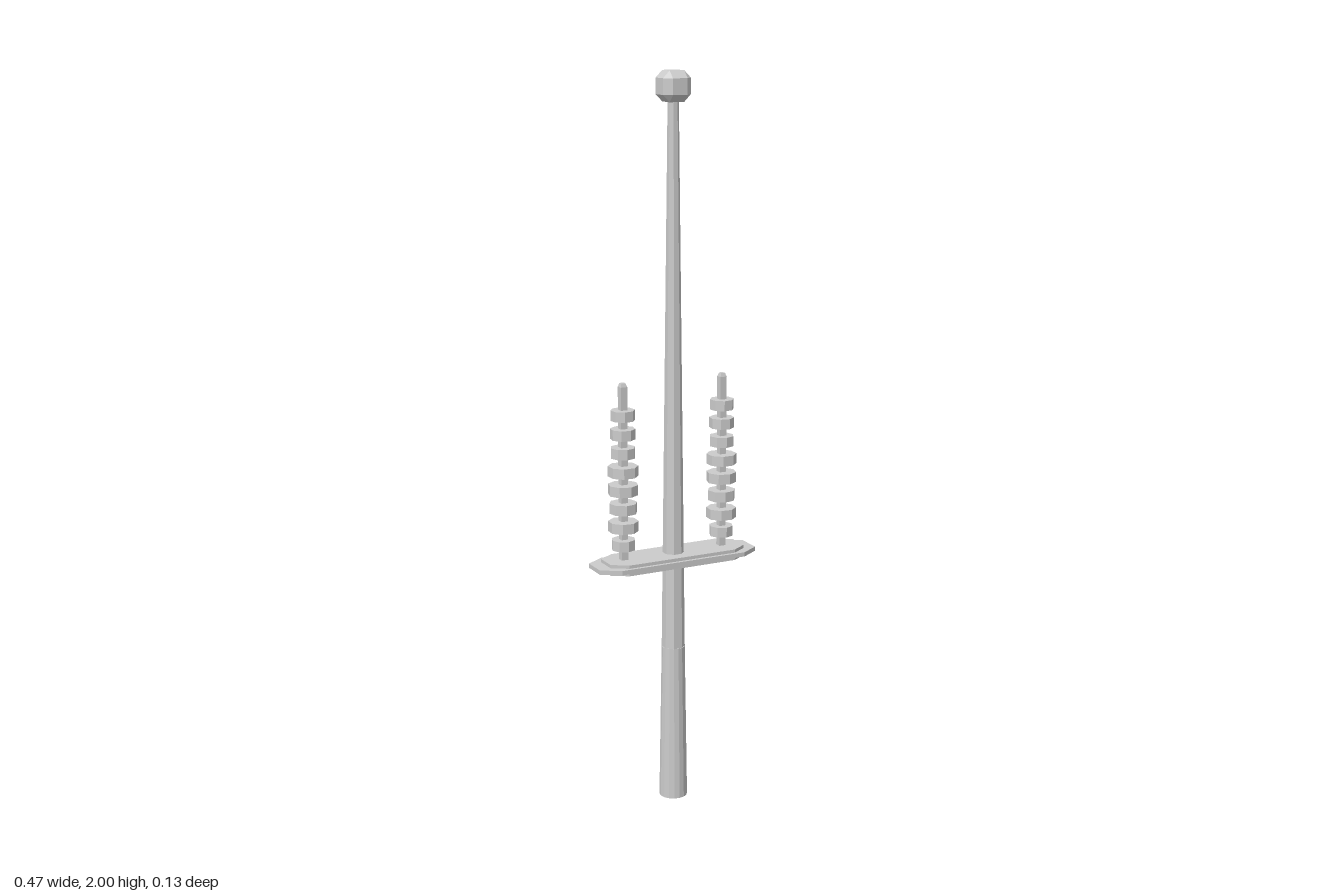
import * as THREE from 'three';
import { ConvexGeometry } from 'three/addons/geometries/ConvexGeometry.js';

export function createModel() {
  const model = new THREE.Group();
  model.name = 'insulatorPole';
  const material = new THREE.MeshStandardMaterial({ color: 0xcccccc, flatShading: true });

  function add(parent, name, geometry, x = 0, y = 0, z = 0) {
    const mesh = new THREE.Mesh(geometry, material);
    mesh.name = name;
    mesh.position.set(x, y, z);
    parent.add(mesh);
    return mesh;
  }

  // Tapered pole: rounder foot, octagonal shaft with flats facing front and sides
  const turn = Math.PI / 8;
  add(model, 'poleFoot', new THREE.CylinderGeometry(0.032, 0.039, 0.44, 16).rotateY(turn), 0, 0.22);
  add(model, 'poleShaft', new THREE.CylinderGeometry(0.0145, 0.032, 1.5, 8).rotateY(turn), 0, 1.19);

  // Faceted finial: every arrangement of one long and two short coordinates
  const corners = [];
  for (const sx of [-1, 1]) for (const sy of [-1, 1]) for (const sz of [-1, 1]) {
    for (let axis = 0; axis < 3; axis++) {
      const p = [sx * 0.021, sy * 0.021, sz * 0.021];
      p[axis] *= 0.04 / 0.021;
      corners.push(new THREE.Vector3(...p));
    }
  }
  add(model, 'finial', new ConvexGeometry(corners), 0, 1.96);

  // Crossarm plates: long rectangles with clipped ends
  function plate(name, x, xIn, z, zIn, bottom, height) {
    const shape = new THREE.Shape([
      [x, -zIn], [x, zIn], [xIn, z], [-xIn, z],
      [-x, zIn], [-x, -zIn], [-xIn, -z], [xIn, -z],
    ].map(([a, b]) => new THREE.Vector2(a, b)));
    const geometry = new THREE.ExtrudeGeometry(shape, { depth: height, bevelEnabled: false });
    add(model, name, geometry.rotateX(-Math.PI / 2), 0, bottom);
  }
  plate('crossarmRim', 0.237, 0.186, 0.067, 0.034, 0.689, 0.012);
  plate('crossarmCore', 0.203, 0.16, 0.058, 0.03, 0.68, 0.03);

  // Two insulator stacks on square rods
  const discRadii = [0.033, 0.041, 0.038, 0.041, 0.041, 0.034, 0.034, 0.033];
  for (const [name, x] of [['leftInsulator', 0.148], ['rightInsulator', -0.15]]) {
    const stack = new THREE.Group();
    stack.name = name;
    stack.position.x = x;
    model.add(stack);
    add(stack, 'rod', new THREE.BoxGeometry(0.019, 0.48, 0.019), 0, 0.945);
    add(stack, 'rodTip', new THREE.CylinderGeometry(0.0085, 0.0134, 0.01, 4).rotateY(Math.PI / 4), 0, 1.19);
    discRadii.forEach((r, i) => {
      const disc = new THREE.CylinderGeometry(r, r, 0.028, 8).rotateY(i * 0.3);
      add(stack, 'disc' + (i + 1), disc, 0, 0.753 + i * 0.0508);
    });
  }
  return model;
}
